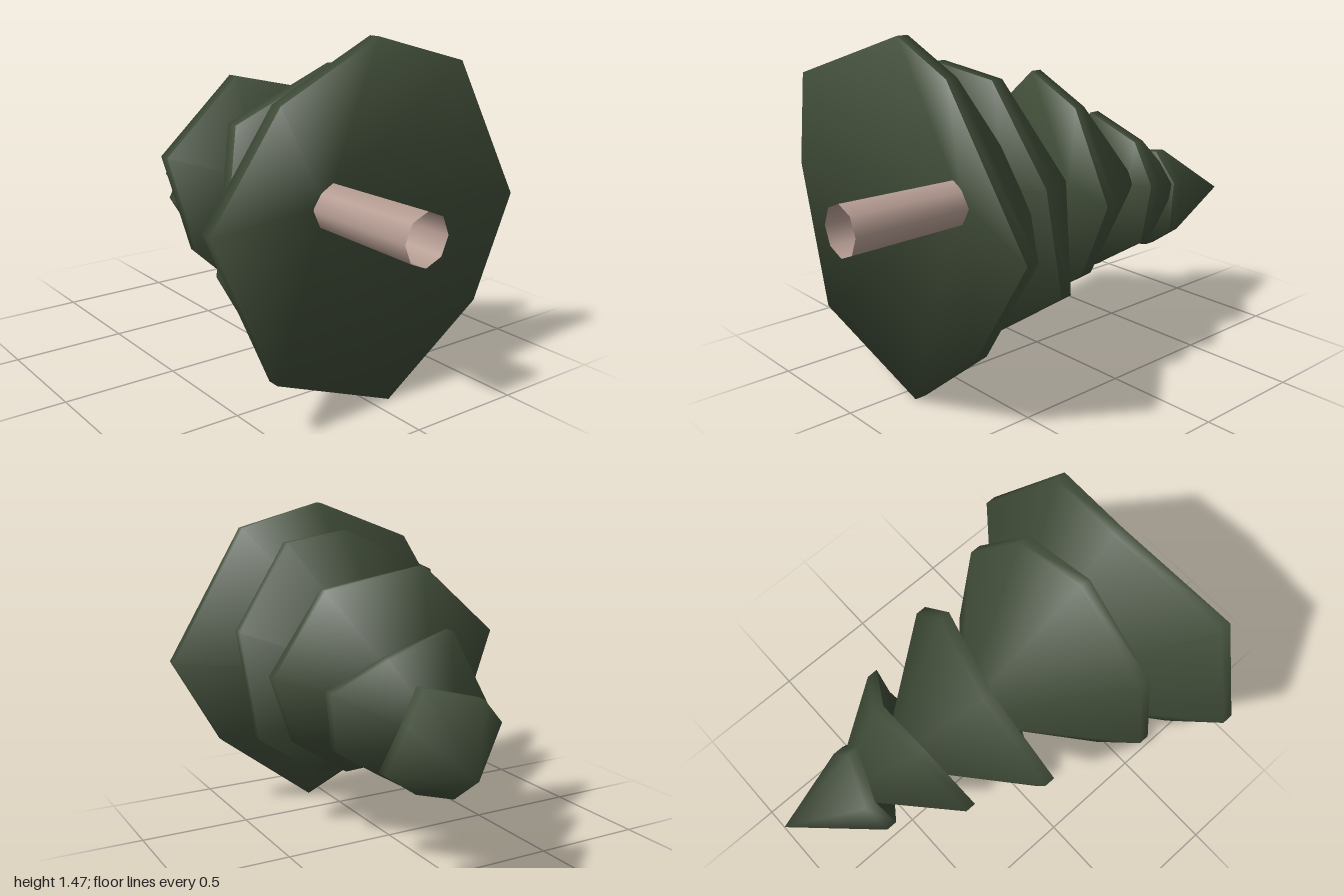
import * as THREE from 'three';

// Each tier: rim corners running clockwise as seen from +z, the deep underside hub and the apex
const TIERS = [
  {
    name: 'bottomTier', hub: [0, 0.76, 0.42], apex: [0, 0.76, 0.06],
    rim: [[0, 1.47, 0.71], [0.38, 1.36, 0.77], [0.76, 0.76, 0.73], [0.52, 0.34, 0.77],
      [0.08, 0, 0.74], [-0.51, 0.24, 0.78], [-0.76, 0.84, 0.73], [-0.53, 1.28, 0.82]],
  },
  {
    name: 'secondTier', hub: [0, 0.76, 0.2], apex: [0.03, 0.75, -0.15],
    rim: [[-0.04, 1.35, 0.51], [0.28, 1.31, 0.48], [0.54, 0.93, 0.44], [0.51, 0.46, 0.33],
      [0.15, 0.2, 0.46], [-0.37, 0.3, 0.43], [-0.55, 0.57, 0.49], [-0.47, 1.15, 0.46]],
  },
  {
    name: 'middleTier', hub: [0.05, 0.74, -0.15], apex: [0.11, 0.7, -0.52],
    rim: [[-0.11, 1.24, -0.07], [0.3, 1.15, 0.06], [0.53, 0.79, 0.1], [0.42, 0.48, 0.13],
      [0.12, 0.27, 0.24], [-0.19, 0.34, 0.1], [-0.37, 0.52, 0.01], [-0.47, 0.93, -0.05]],
  },
  {
    name: 'fourthTier', hub: [0.11, 0.68, -0.47], apex: [0.16, 0.65, -0.77],
    rim: [[-0.05, 1.02, -0.38], [0.24, 0.93, -0.37], [0.44, 0.79, -0.26], [0.41, 0.54, -0.24],
      [0.2, 0.4, -0.19], [0.08, 0.33, -0.27], [-0.08, 0.31, -0.27], [-0.28, 0.66, -0.32]],
  },
  {
    name: 'topTier', hub: [0.14, 0.62, -0.7], apex: [0.21, 0.6, -1],
    rim: [[0.2, 0.85, -0.56], [0.29, 0.71, -0.59], [0.34, 0.51, -0.51], [0.2, 0.41, -0.51],
      [0.04, 0.37, -0.54], [-0.12, 0.69, -0.63], [-0.02, 0.8, -0.65]],
  },
];

// Smooth many-cornered cone with a short rim wall and a hollowed underside
function tierGeometry({ rim, hub, apex }) {
  const n = rim.length;
  const upper = rim.map(([x, y, z]) => [x, y, z - 0.05]);
  const under = 2 * n, hubIndex = 3 * n, apexIndex = 3 * n + 1;
  const index = [];
  for (let a = 0; a < n; a++) {
    const b = (a + 1) % n;
    index.push(hubIndex, under + b, under + a); // underside
    index.push(a, b, n + b, a, n + b, n + a); // rim wall
    index.push(n + a, n + b, apexIndex); // sloping boughs
  }
  const geometry = new THREE.BufferGeometry();
  const points = [...rim, ...upper, ...rim, hub, apex].flat();
  geometry.setAttribute('position', new THREE.Float32BufferAttribute(points, 3));
  geometry.setIndex(index);
  geometry.computeVertexNormals();

  // Underside normals roll outwards at the rim, so its edge looks rounded
  const normal = geometry.attributes.normal;
  rim.forEach(([x, y], i) => {
    const v = new THREE.Vector3(x - hub[0], y - hub[1], 0).normalize().setZ(0.8).normalize();
    normal.setXYZ(under + i, v.x, v.y, v.z);
  });
  return geometry;
}

export function createModel() {
  const tree = new THREE.Group();
  tree.name = 'pineTree';

  const foliage = new THREE.MeshStandardMaterial({ color: 0x3f4b37 });
  foliage.name = 'darkGreenFoliage';
  const bark = new THREE.MeshStandardMaterial({ color: 0xb59c92, side: THREE.DoubleSide });
  bark.name = 'paleBark';

  // Boughs, tapering towards a bent tip
  for (const tier of TIERS) {
    const mesh = new THREE.Mesh(tierGeometry(tier), foliage);
    mesh.name = tier.name;
    tree.add(mesh);
  }

  // Open eight-sided trunk lying along z, reaching into the bottom tier
  const trunk = new THREE.Mesh(new THREE.CylinderGeometry(0.109, 0.1, 0.6, 8, 1, true), bark);
  trunk.name = 'trunk';
  trunk.rotation.x = Math.PI / 2;
  trunk.position.set(0, 0.76, 0.7);
  tree.add(trunk);

  return tree;
}
